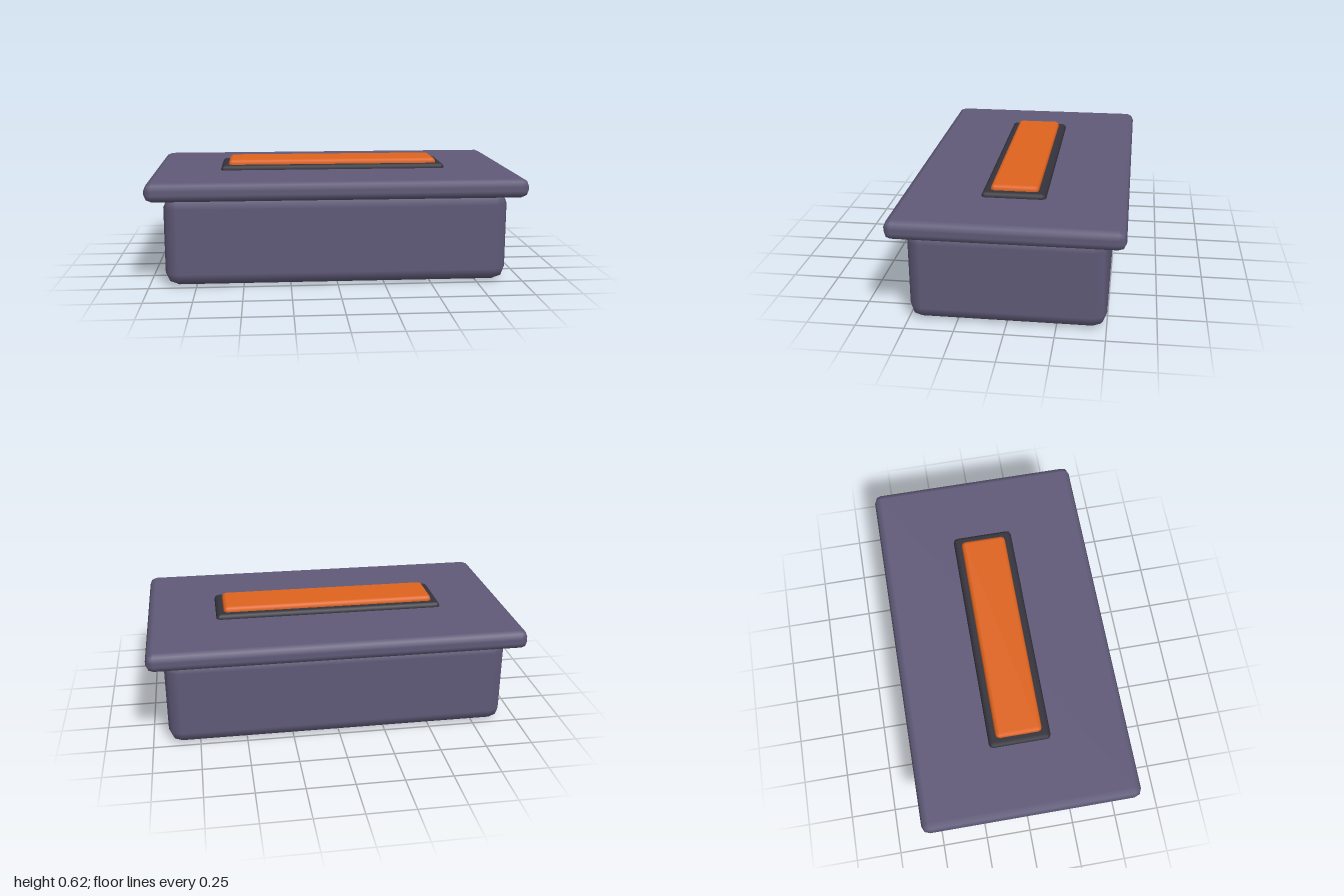
import * as THREE from 'three';
import { RoundedBoxGeometry } from 'three/addons/geometries/RoundedBoxGeometry.js';

const material = (name, color) => {
  const m = new THREE.MeshStandardMaterial({ color });
  m.name = name;
  return m;
};

export function createModel() {
  const group = new THREE.Group();
  group.name = 'lidded box';

  const purple = material('dusty purple', 0x605a78);
  const charcoal = material('charcoal', 0x34333c);
  const orange = material('orange', 0xe0641f);

  // Softly bevelled slab spanning bottom..top
  const slab = (name, width, depth, bottom, top, radius, mat) => {
    const mesh = new THREE.Mesh(new RoundedBoxGeometry(width, top - bottom, depth, 1, radius), mat);
    mesh.name = name;
    mesh.position.y = (bottom + top) / 2;
    group.add(mesh);
  };

  slab('body', 1.83, 1.0, 0, 0.49, 0.07, purple);
  slab('lid', 2.0, 1.166, 0.47, 0.57, 0.04, purple);
  // Raised inlay on the lid
  slab('inlayFrame', 1.25, 0.333, 0.545, 0.594, 0.022, charcoal);
  slab('inlayPanel', 1.167, 0.25, 0.57, 0.62, 0.022, orange);

  return group;
}
